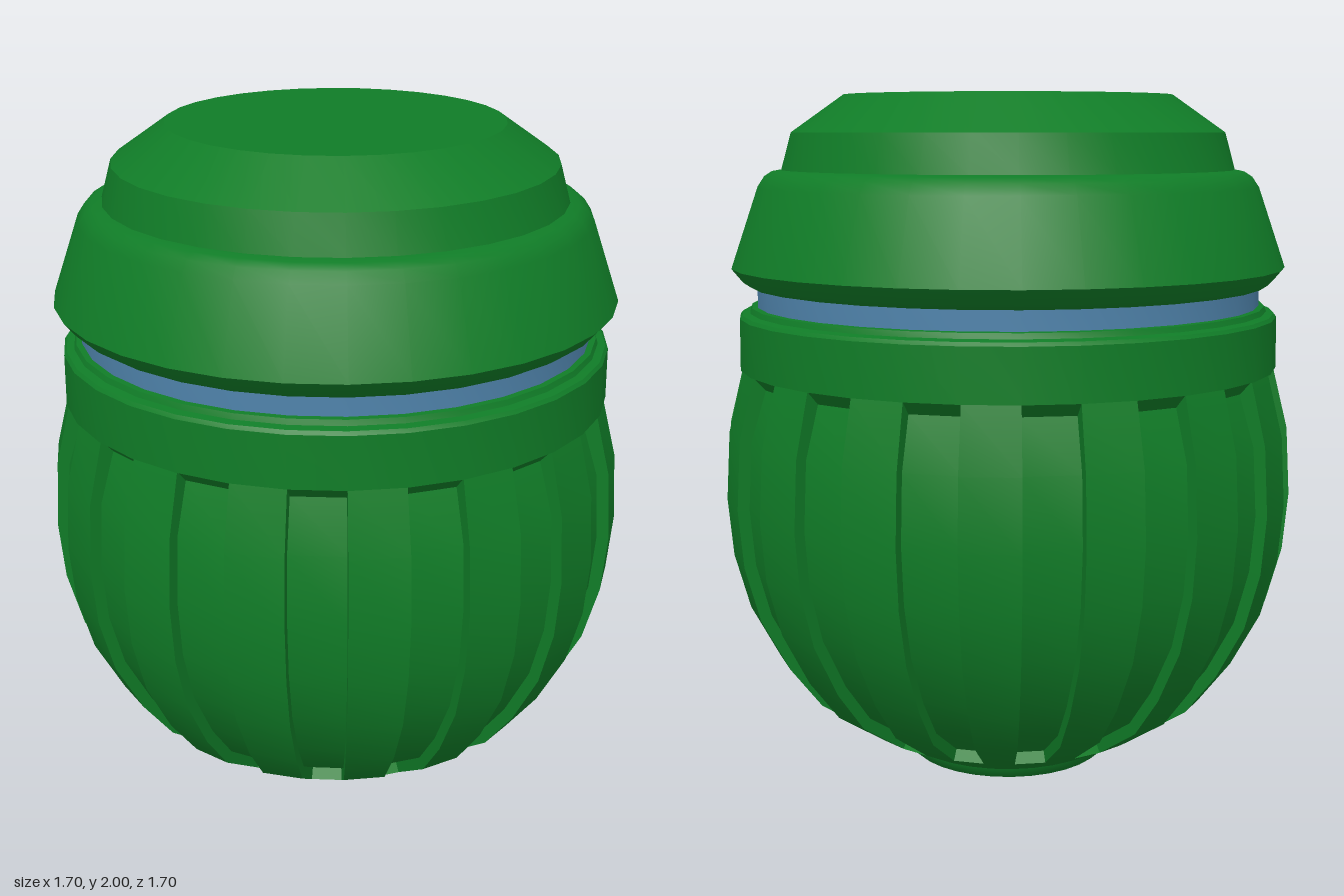
import * as THREE from 'three';
import { toCreasedNormals } from 'three/addons/utils/BufferGeometryUtils.js';

const SIDES = 32;
const CREASE = 0.55;

// Turned part from [radius, height] pairs listed bottom to top
function turned(name, profile, material) {
  const points = profile.map(([r, y]) => new THREE.Vector2(r, y));
  const geometry = toCreasedNormals(new THREE.LatheGeometry(points, SIDES), CREASE);
  const mesh = new THREE.Mesh(geometry, material);
  mesh.name = name;
  return mesh;
}

// Bulging body with alternating ribs and sunken grooves
function ribbedBody(material) {
  const skirt = [0.32, 0.035];
  const outer = [[0.455, 0.105], [0.61, 0.21], [0.705, 0.335], [0.79, 0.495],
    [0.835, 0.66], [0.85, 0.83], [0.838, 1.03], [0.793, 1.21]];
  const last = outer.length - 1;
  const depth = 0.035;

  // Groove floor: the rib profile pushed inwards along its normal
  const floor = outer.map(([r, y], i) => {
    const a = outer[Math.max(i - 1, 0)], b = outer[Math.min(i + 1, last)];
    const dr = b[0] - a[0], dy = b[1] - a[1], len = Math.hypot(dr, dy);
    return [r - depth * dy / len, y + depth * dr / len];
  });
  floor[last] = [0.757, 1.172];
  const groove = [outer[0], ...floor, outer[last]];
  const rim = [outer[0], ...outer, outer[last]];

  const positions = [];
  const at = ([r, y], a) => [r * Math.cos(a), y, r * Math.sin(a)];
  const quad = (a, b, c, d) => positions.push(...a, ...b, ...c, ...a, ...c, ...d);
  const strip = (profile, a0, a1) => {
    for (let j = 0; j < profile.length - 1; j++) {
      const p = profile[j], q = profile[j + 1];
      quad(at(p, a0), at(q, a0), at(q, a1), at(p, a1));
    }
  };

  for (let i = 0; i < SIDES; i++) {
    const a0 = i * 2 * Math.PI / SIDES, a1 = (i + 1) * 2 * Math.PI / SIDES;
    strip([skirt, outer[0]], a0, a1);
    if (i % 2) {
      strip(groove, a0, a1);
      continue;
    }
    strip(outer, a0, a1);
    // Side walls of the rib
    for (let j = 0; j < rim.length - 1; j++) {
      quad(at(rim[j], a1), at(rim[j + 1], a1), at(groove[j + 1], a1), at(groove[j], a1));
      quad(at(groove[j], a0), at(groove[j + 1], a0), at(rim[j + 1], a0), at(rim[j], a0));
    }
  }
  const geometry = new THREE.BufferGeometry();
  geometry.setAttribute('position', new THREE.Float32BufferAttribute(positions, 3));
  const mesh = new THREE.Mesh(toCreasedNormals(geometry, CREASE), material);
  mesh.name = 'ribbedBody';
  return mesh;
}

export function createModel() {
  const green = new THREE.MeshStandardMaterial({ color: 0x107c27 });
  green.name = 'green';
  const blue = new THREE.MeshStandardMaterial({ color: 0x4f83ab });
  blue.name = 'steelBlue';

  const model = new THREE.Group();
  model.name = 'ribbedCanister';
  model.add(
    turned('foot', [[0, 0], [0.295, 0], [0.312, 0.015], [0.32, 0.035]], green),
    ribbedBody(green),
    turned('collar', [[0.75, 1.21], [0.8, 1.21], [0.798, 1.36], [0.79, 1.37],
      [0.768, 1.375], [0.762, 1.39], [0.74, 1.392]], green),
    turned('sealBand', [[0.745, 1.38], [0.745, 1.46]], blue),
    turned('lid', [[0.74, 1.446], [0.762, 1.45], [0.785, 1.465], [0.818, 1.505],
      [0.738, 1.735], [0.718, 1.765], [0.695, 1.78], [0.667, 1.785],
      [0.637, 1.892], [0.483, 2], [0, 2]], green),
  );
  return model;
}
